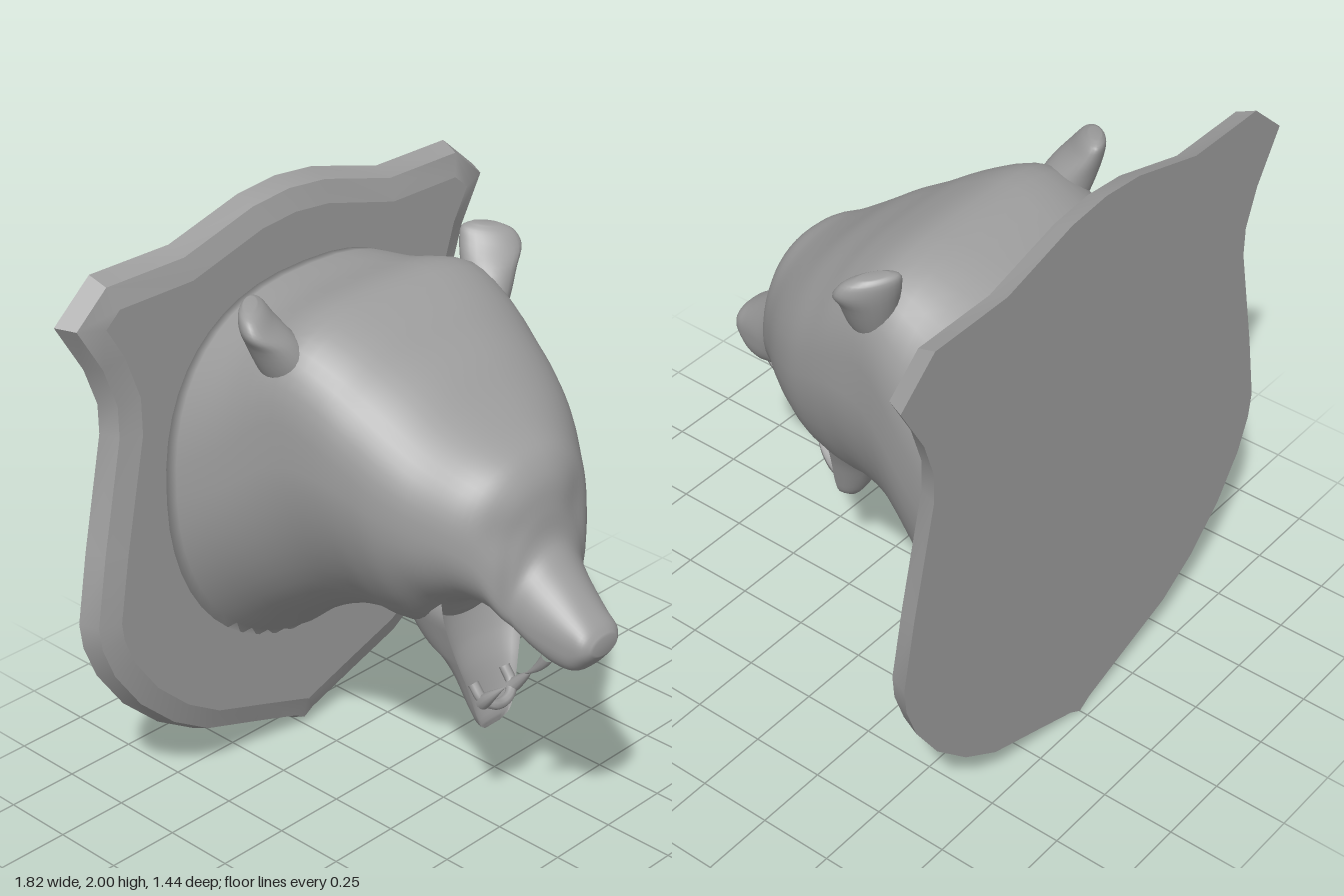
import * as THREE from 'three';
import { toCreasedNormals } from 'three/addons/utils/BufferGeometryUtils.js';

const V = (x, y, z) => new THREE.Vector3(x, y, z);
const material = new THREE.MeshStandardMaterial({ color: 0x9d9d9d });

function add(group, name, geometry) {
  const mesh = new THREE.Mesh(geometry, material);
  mesh.name = name;
  group.add(mesh);
  return mesh;
}

// Skins closed rings (counter-clockwise about the direction of travel).
// With steps > 0 the rings are resampled along smooth curves.
function loft(rings, steps = 0, caps = true) {
  const n = rings[0].length;
  if (steps) {
    const lines = rings[0].map((_, j) => new THREE.CatmullRomCurve3(rings.map(r => r[j])).getPoints(steps));
    rings = lines[0].map((_, i) => lines.map(l => l[i]));
  }
  if (caps) {
    const collapse = r => {
      const c = r.reduce((s, p) => s.add(p), V(0, 0, 0)).divideScalar(n);
      return r.map(() => c);
    };
    rings = [collapse(rings[0]), ...rings, collapse(rings[rings.length - 1])];
  }
  const pos = rings.flatMap(r => r.flatMap(p => [p.x, p.y, p.z]));
  const idx = [];
  for (let i = 0; i < rings.length - 1; i++) {
    for (let j = 0; j < n; j++) {
      const k = (j + 1) % n;
      const a = i * n + j, b = i * n + k, c = a + n, d = b + n;
      idx.push(a, b, c, b, d, c);
    }
  }
  const g = new THREE.BufferGeometry();
  g.setAttribute('position', new THREE.Float32BufferAttribute(pos, 3));
  g.setIndex(idx);
  g.computeVertexNormals();
  return g;
}

// Moves every corner of a counter-clockwise outline inwards by d
function inset(points, d) {
  const n = points.length;
  return points.map((p, i) => {
    const a = p.clone().sub(points[(i + n - 1) % n]).normalize();
    const b = points[(i + 1) % n].clone().sub(p).normalize();
    const m = new THREE.Vector2(-a.y - b.y, a.x + b.x).normalize();
    const s = Math.max(0.5, m.dot(new THREE.Vector2(-a.y, a.x)));
    return p.clone().addScaledVector(m, d / s);
  });
}

// Bevelled wall shield
function buildShield(group) {
  const half = [
    [0.05, 0.035], [0.24, 0.1], [0.45, 0.17], [0.6, 0.265], [0.74, 0.4], [0.84, 0.55], [0.885, 0.67],
    [0.895, 0.76], [0.85, 1.0], [0.765, 1.38], [0.765, 1.48], [0.81, 1.61], [0.91, 1.78],
    [0.765, 1.905], [0.45, 1.905], [0.16, 1.985],
  ];
  const outline = [[0, 0.005], ...half, [0, 2], ...half.slice().reverse().map(([x, y]) => [-x, y])]
    .map(p => new THREE.Vector2(...p));
  const face = inset(outline, 0.097);
  const at = (pts, z) => pts.map(p => V(p.x, p.y, z));
  const rim = loft([at(outline, -0.72), at(inset(outline, 0.025), -0.655), at(face, -0.63)], 0, false);
  add(group, 'shieldRim', toCreasedNormals(rim, 0.5));
  add(group, 'shieldFront', new THREE.ShapeGeometry(new THREE.Shape(face)).translate(0, 0, -0.63));
  add(group, 'shieldBack', new THREE.ShapeGeometry(new THREE.Shape(outline)).rotateY(Math.PI).translate(0, 0, -0.72));
}

// Neck, skull and muzzle as one smooth skin
function buildHead(group) {
  // z, centre x, half width, top, bottom, height of widest point, upper and lower roundness
  const sections = [
    [-0.64, 0.027, 0.617, 1.73, 0.41, 1.1, 2.4, 2.1],
    [-0.45, 0.02, 0.56, 1.745, 0.565, 1.2, 2.8, 2.0],
    [-0.25, 0.015, 0.505, 1.775, 0.67, 1.33, 3.6, 1.9],
    [-0.1, 0.015, 0.48, 1.72, 0.7, 1.33, 3.1, 1.8],
    [0, 0.015, 0.46, 1.66, 0.698, 1.3, 2.7, 1.8],
    [0.1, 0.01, 0.435, 1.6, 0.75, 1.26, 2.5, 1.9],
    [0.2, 0, 0.39, 1.525, 0.87, 1.23, 2.4, 2.1],
    [0.3, -0.01, 0.32, 1.458, 0.91, 1.19, 2.3, 2.0],
    [0.38, -0.02, 0.26, 1.415, 0.9, 1.14, 2.3, 2.0],
    [0.43, -0.03, 0.21, 1.35, 0.885, 1.06, 2.2, 2.3],
    [0.455, -0.035, 0.172, 1.26, 0.875, 1.0, 2, 2.5],
    [0.475, -0.037, 0.16, 1.165, 0.865, 0.97, 2, 2.6],
    [0.52, -0.045, 0.143, 1.115, 0.84, 0.95, 2, 2.8],
    [0.59, -0.052, 0.12, 1.055, 0.807, 0.93, 2, 2.8],
    [0.65, -0.057, 0.101, 1.005, 0.808, 0.91, 2.2, 2.6],
    [0.695, -0.06, 0.085, 0.968, 0.85, 0.91, 2.3, 2.2],
    [0.718, -0.06, 0.055, 0.94, 0.88, 0.91, 2, 2],
  ];
  const rings = sections.map(([z, cx, w, top, bottom, mid, nu, nl]) =>
    Array.from({ length: 48 }, (_, j) => {
      const t = j / 48 * Math.PI * 2, c = Math.cos(t), s = Math.sin(t);
      const e = 2 / (s > 0 ? nu : nl);
      const h = s > 0 ? top - mid : mid - bottom;
      return V(cx + w * Math.sign(c) * Math.abs(c) ** e, mid + h * Math.sign(s) * Math.abs(s) ** e, z);
    }));
  const g = loft(rings, 64);
  // shallow eye sockets
  const p = g.attributes.position;
  for (let i = 0; i < p.count; i++) {
    const v = V(0, 0, 0).fromBufferAttribute(p, i);
    for (const eye of [V(-0.19, 1.22, 0.41), V(0.13, 1.22, 0.41)]) {
      const k = Math.exp(-v.distanceToSquared(eye) / 0.005);
      p.setZ(i, p.getZ(i) - 0.014 * k);
    }
  }
  g.computeVertexNormals();
  add(group, 'head', g);
}

// Hanging lower jaw with a hollow front
function buildJaw(group) {
  // y, centre x, half width, front rim z, back z, hollow depth
  const sections = [
    [0.412, -0.03, 0.035, 0.242, 0.22, 0],
    [0.44, -0.03, 0.068, 0.252, 0.2, 0.008],
    [0.5, -0.03, 0.092, 0.25, 0.167, 0.03],
    [0.6, -0.026, 0.12, 0.235, 0.11, 0.05],
    [0.66, -0.022, 0.14, 0.222, 0.045, 0.065],
    [0.695, -0.02, 0.152, 0.216, -0.04, 0.075],
    [0.78, -0.016, 0.178, 0.203, -0.1, 0.09],
    [0.86, -0.01, 0.2, 0.195, -0.1, 0.1],
    [0.94, -0.005, 0.18, 0.16, -0.1, 0.1],
  ];
  const rings = sections.map(([y, cx, w, front, back, hollow]) =>
    Array.from({ length: 32 }, (_, j) => {
      const t = j / 32 * Math.PI * 2, s = Math.sin(t);
      return V(cx + w * Math.cos(t), y, s > 0 ? front - (front - back) * s : front + hollow * s);
    }));
  add(group, 'lowerJaw', toCreasedNormals(loft(rings, 24), 1));
}

// Small rounded ears growing out of the skull, the right one further back
function buildEar(group, side) {
  // centre, half width, half thickness
  const sections = [
    [0.36, 1.5, -0.2, 0.05, 0.07], [0.4, 1.6, -0.205, 0.075, 0.09], [0.445, 1.7, -0.23, 0.09, 0.08],
    [0.48, 1.765, -0.255, 0.1, 0.055], [0.486, 1.805, -0.272, 0.085, 0.038], [0.485, 1.823, -0.28, 0.045, 0.02],
  ];
  const rings = sections.map(([x, y, z, a, b]) =>
    Array.from({ length: 24 }, (_, j) => {
      const t = side * j / 24 * Math.PI * 2, u = a * Math.cos(t), v = b * Math.sin(t);
      return V(side * (x + 0.75 * u + 0.66 * v), y - (y > 1.7 ? 0.12 * u : 0), z + 0.66 * u - 0.75 * v);
    }));
  const ear = add(group, side > 0 ? 'leftEar' : 'rightEar', loft(rings, 20));
  ear.position.set(0.02, side > 0 ? -0.01 : 0.005, side > 0 ? -0.01 : -0.07);
}

// Curved tapering tooth along root, bend and tip
function buildTooth(group, name, root, bend, tip, radius) {
  const curve = new THREE.QuadraticBezierCurve3(root, bend, tip);
  const steps = 8, sides = 10;
  const g = new THREE.TubeGeometry(curve, steps, radius, sides);
  const p = g.attributes.position;
  for (let i = 0; i < p.count; i++) {
    const t = Math.floor(i / (sides + 1)) / steps;
    const v = V(0, 0, 0).fromBufferAttribute(p, i).lerp(curve.getPointAt(t), t ** 1.5);
    p.setXYZ(i, v.x, v.y, v.z);
  }
  g.computeVertexNormals();
  add(group, name, g);
}

function buildTeeth(group) {
  for (const s of [-1, 1]) {
    const label = s > 0 ? 'left' : 'right';
    const ux = -0.065 + s * 0.075, lx = -0.032 + s * 0.065;
    buildTooth(group, label + 'UpperFang', V(ux, 0.84, 0.56), V(ux, 0.79, 0.535), V(ux + s * 0.005, 0.745, 0.472), 0.02);
    buildTooth(group, label + 'LowerFang', V(lx, 0.53, 0.26), V(lx + s * 0.015, 0.575, 0.3), V(lx - s * 0.005, 0.625, 0.352), 0.024);
  }
  // front row of the lower jaw
  const row = new THREE.CatmullRomCurve3([
    V(-0.105, 0.59, 0.225), V(-0.1, 0.545, 0.26), V(-0.07, 0.52, 0.28), V(-0.032, 0.51, 0.282),
    V(0.006, 0.52, 0.28), V(0.036, 0.545, 0.26), V(0.041, 0.59, 0.225),
  ]);
  add(group, 'lowerToothRow', new THREE.TubeGeometry(row, 24, 0.018, 8));
}

export function createModel() {
  const group = new THREE.Group();
  group.name = 'mountedBearHead';
  buildShield(group);
  buildHead(group);
  buildJaw(group);
  for (const side of [-1, 1]) buildEar(group, side);
  buildTeeth(group);
  return group;
}
